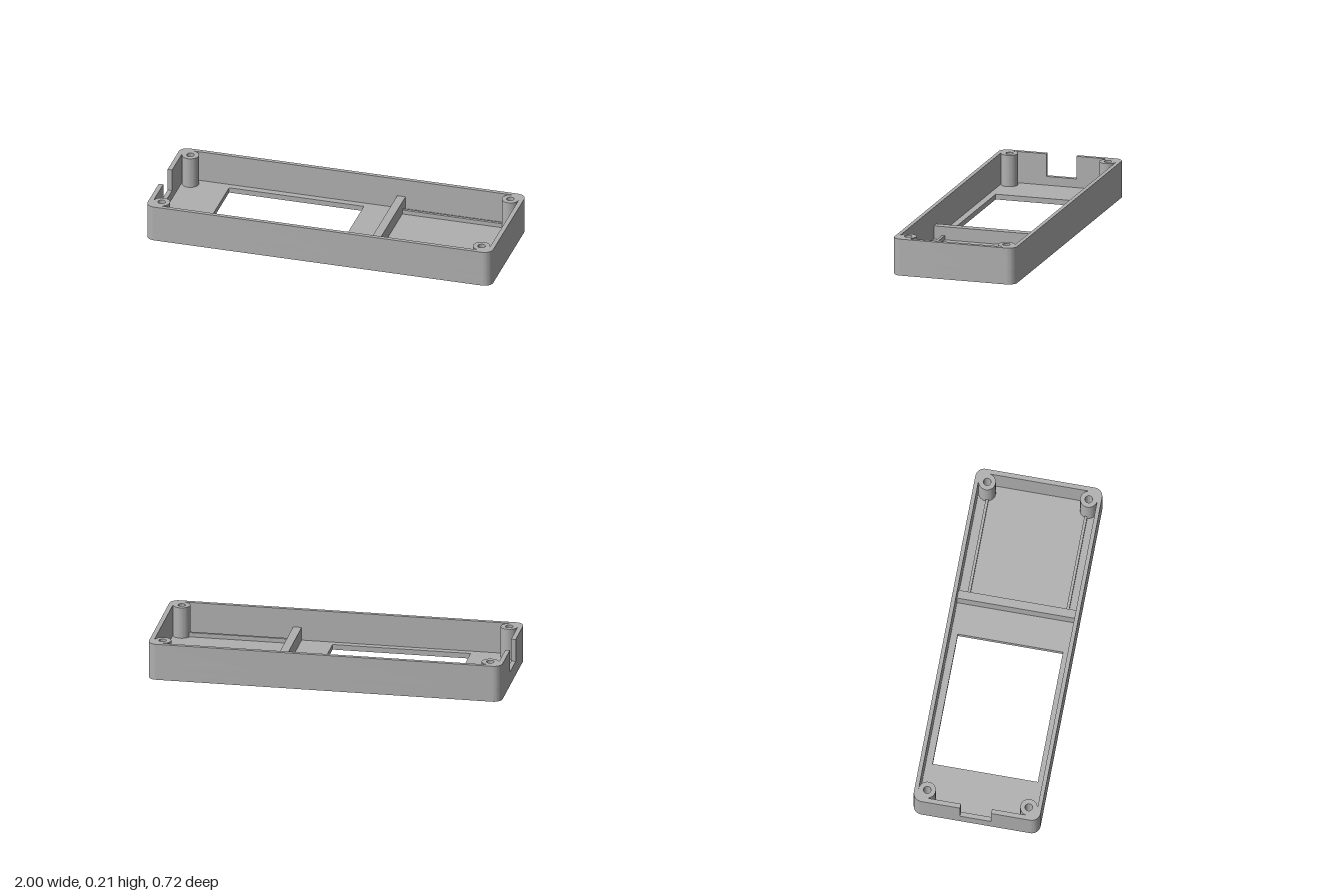
import * as THREE from 'three';
import { toCreasedNormals } from 'three/addons/utils/BufferGeometryUtils.js';

const HALF_DEPTH = 0.358, CORNER_R = 0.05, HEIGHT = 0.21;
const FLOOR = 0.03, GROOVE = 0.008;
const POST_X = 0.926, POST_Z = 0.287, POST_R = 0.048, SCREW_R = 0.021;
const NOTCH_HALF = 0.088, NOTCH_Y = 0.08;
const RING = { x: 0.61, outer: 0.2, inner: 0.188 };
const CORNERS = [[-1, -1], [1, -1], [1, 1], [-1, 1]];

// Outline that starts and ends at the notch, with an arc at each corner
function outline(sideX, cx, cz, r, sweep) {
  const pts = [new THREE.Vector2(-sideX, -NOTCH_HALF)];
  const steps = Math.round(Math.abs(sweep) / (Math.PI / 24));
  CORNERS.forEach(([sx, sz], k) => {
    for (let i = 0; i <= steps; i++) {
      const a = Math.PI + k * Math.PI / 2 + sweep * i / steps;
      pts.push(new THREE.Vector2(sx * cx + r * Math.cos(a), sz * cz + r * Math.sin(a)));
    }
  });
  pts.push(new THREE.Vector2(-sideX, NOTCH_HALF));
  return pts;
}

function circle(x, z, r, Kind = THREE.Path) {
  return new Kind().absarc(x, z, r, 0, Math.PI * 2, false);
}

export function createModel() {
  const group = new THREE.Group();
  group.name = 'enclosureHalf';
  const grey = new THREE.MeshStandardMaterial({ color: 0xb0b0b0 });
  grey.name = 'grey plastic';

  const add = (name, geometry) => {
    const mesh = new THREE.Mesh(geometry, grey);
    mesh.name = name;
    group.add(mesh);
    return mesh;
  };
  // Flat plan shape raised from y0 to y1
  const slab = (name, shape, y0, y1) => {
    const g = new THREE.ExtrudeGeometry(shape, { depth: y1 - y0, bevelEnabled: false, curveSegments: 32 });
    g.rotateX(-Math.PI / 2).translate(0, y0, 0);
    return add(name, toCreasedNormals(g, 0.6));
  };
  const box = (name, x0, x1, y0, y1, z0, z1) => {
    add(name, new THREE.BoxGeometry(x1 - x0, y1 - y0, z1 - z0))
      .position.set((x0 + x1) / 2, (y0 + y1) / 2, (z0 + z1) / 2);
  };

  const outer = outline(1, 1 - CORNER_R, HALF_DEPTH - CORNER_R, CORNER_R, Math.PI / 2);
  const inner = outline(POST_X + POST_R, POST_X, POST_Z, POST_R, -1.5 * Math.PI);

  // Floor with the display window; the lower layer has a ring groove
  const floorShape = () => {
    const s = new THREE.Shape(outer);
    s.holes.push(new THREE.Path([[-0.705, -0.297], [-0.705, 0.297], [0.075, 0.297], [0.075, -0.297]]
      .map(([x, z]) => new THREE.Vector2(x, z))));
    return s;
  };
  const under = floorShape();
  under.holes.push(circle(RING.x, 0, RING.outer));
  slab('floorUnderside', under, 0, GROOVE);
  slab('roundPad', circle(RING.x, 0, RING.inner, THREE.Shape), 0, GROOVE);
  slab('floor', floorShape(), GROOVE, FLOOR);

  // Walls with built-in screw posts: closed below, open at the cable notch above
  const lower = new THREE.Shape(outer);
  lower.holes.push(new THREE.Path(inner));
  const upper = new THREE.Shape([...outer, ...inner.slice().reverse()]);
  for (const shape of [lower, upper]) {
    for (const [sx, sz] of CORNERS) shape.holes.push(circle(sx * POST_X, sz * POST_Z, SCREW_R));
  }
  slab('lowerWall', lower, FLOOR, NOTCH_Y);
  slab('upperWall', upper, NOTCH_Y, HEIGHT);

  // Cross divider and the two low ribs beside it
  box('divider', 0.257, 0.305, FLOOR, 0.105, -0.335, 0.335);
  for (const s of [-1, 1]) {
    box('lowRib', 0.305, 0.885, FLOOR, 0.055, s * 0.279 - 0.008, s * 0.279 + 0.008);
  }
  return group;
}
